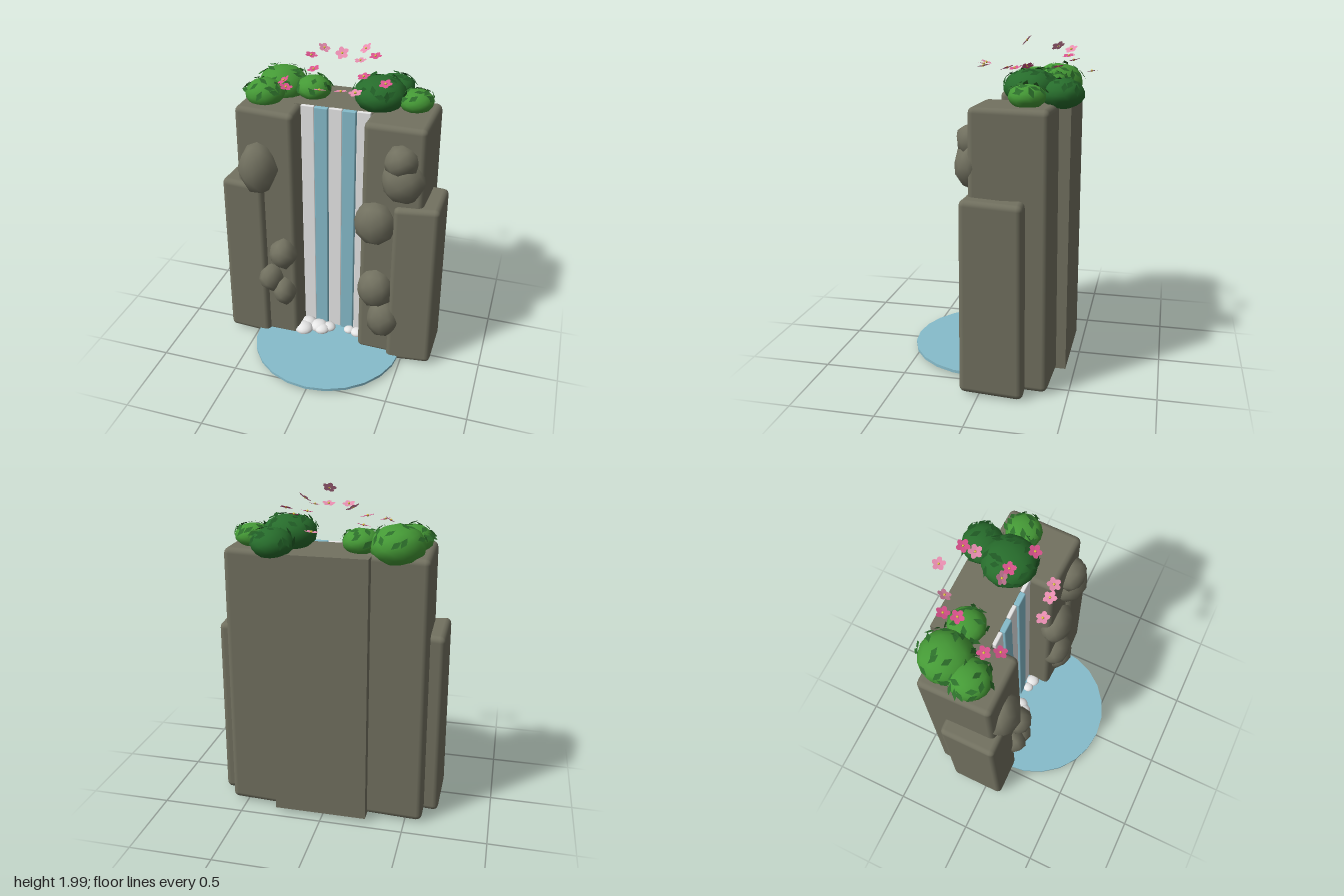
import * as THREE from 'three';
import { mergeVertices, mergeGeometries } from 'three/addons/utils/BufferGeometryUtils.js';
import { RoundedBoxGeometry } from 'three/addons/geometries/RoundedBoxGeometry.js';

const mat = (name, color, side = THREE.FrontSide) => {
  const m = new THREE.MeshStandardMaterial({ color, side });
  m.name = name;
  return m;
};

export function createModel() {
  const root = new THREE.Group();
  root.name = 'waterfallCliff';
  const rock = mat('rock', 0x727160);
  const water = mat('water', 0x86bccb);
  const foam = mat('foam', 0xeeeeee);
  const lightGreen = mat('lightGreen', 0x459a36);
  const darkGreen = mat('darkGreen', 0x276d2c);
  const leafGreen = mat('leafGreen', 0x2c6e2a, THREE.DoubleSide);
  const leafDeep = mat('leafDeepGreen', 0x1f5a24, THREE.DoubleSide);
  const pink = mat('pinkPetal', 0xea8fb2, THREE.DoubleSide);
  const hotPink = mat('hotPinkPetal', 0xd9528c, THREE.DoubleSide);
  const yellow = mat('flowerCentre', 0xe2c544);

  let seed = 11;
  const rnd = () => {
    seed = (seed * 16807) % 2147483647;
    return seed / 2147483647;
  };
  const add = (name, geometry, material, x = 0, y = 0, z = 0, parent = root) => {
    const m = new THREE.Mesh(geometry, material);
    m.name = name;
    m.position.set(x, y, z);
    parent.add(m);
    return m;
  };

  // Uneven ball with smooth normals, for boulders, bushes and foam
  const blob = (rx, ry, rz, detail, rough) => {
    let g = new THREE.IcosahedronGeometry(1, detail);
    g.deleteAttribute('uv');
    g.deleteAttribute('normal');
    g = mergeVertices(g, 1e-3);
    const p = g.attributes.position;
    for (let i = 0; i < p.count; i++) {
      const k = 1 + (rnd() - 0.5) * rough;
      p.setXYZ(i, p.getX(i) * k * rx, p.getY(i) * k * ry, p.getZ(i) * k * rz);
    }
    g.computeVertexNormals();
    return g;
  };

  // Rock columns: softened boxes, slightly narrower and uneven at the ends
  const column = (name, x0, x1, y0, y1, z0, z1, phase) => {
    const w = x1 - x0, h = y1 - y0, d = z1 - z0;
    const g = new RoundedBoxGeometry(w, h, d, 2, 0.035);
    const p = g.attributes.position;
    for (let i = 0; i < p.count; i++) {
      const x = p.getX(i), y = p.getY(i), z = p.getZ(i);
      const t = y / h + 0.5;
      const k = 1 - 0.05 * t;
      p.setXYZ(i,
        x * k + 0.004 * Math.sin(9 * z + phase),
        y + 0.009 * Math.sin(11 * x + 8 * z + phase),
        z * k + 0.005 * Math.sin(12 * x + phase * 2));
    }
    add(name, g, rock, (x0 + x1) / 2, (y0 + y1) / 2, (z0 + z1) / 2);
  };
  column('tallColumnRight', -0.6, -0.215, 0.02, 1.64, -0.385, 0.08, 1);
  column('tallColumnLeft', 0.2, 0.59, 0.02, 1.64, -0.39, 0.08, 3);
  column('outerColumnRight', -0.69, -0.41, 0.02, 1.16, -0.255, 0.115, 2);
  column('outerColumnLeft', 0.4, 0.69, 0.015, 1.15, -0.255, 0.115, 5);
  add('backWall', new THREE.BoxGeometry(0.56, 1.61, 0.35), rock, 0.01, 0.835, -0.275);

  // Boulders stuck to the column fronts: x, y, rx, ry
  [
    [-0.45, 1.265, 0.125, 0.17], [-0.3, 0.67, 0.09, 0.105],
    [-0.39, 0.47, 0.08, 0.1], [-0.3, 0.38, 0.075, 0.1],
    [0.45, 1.31, 0.135, 0.14], [0.44, 1.44, 0.105, 0.095],
    [0.29, 1.005, 0.13, 0.145], [0.31, 0.53, 0.12, 0.135],
    [0.365, 0.31, 0.11, 0.135],
  ].forEach(([x, y, rx, ry]) => add('boulder', blob(rx, ry, 0.1, 1, 0.16), rock, x, y, 0.07));

  // Falling water: alternating strips
  for (let i = 0; i < 5; i++) {
    const blue = i % 2 === 1;
    add(blue ? 'waterStrip' : 'foamStrip',
      new RoundedBoxGeometry(0.085, 1.61, blue ? 0.035 : 0.025, 1, 0.006),
      blue ? water : foam, -0.005 + (i - 2) * 0.087, 0.838, blue ? -0.083 : -0.09);
  }

  // Pool
  add('pool', new THREE.CylinderGeometry(0.485, 0.485, 0.018, 24), water, 0, 0.034, 0.077);

  // Foam at the foot of the falls: x, z, r
  [
    [-0.19, 0.03, 0.062], [-0.18, -0.03, 0.06], [-0.1, -0.02, 0.06], [-0.07, 0.005, 0.05],
    [-0.03, -0.03, 0.045], [0.11, -0.04, 0.036], [0.17, -0.03, 0.045],
  ].forEach(([x, z, r]) => add('foamPuff', blob(r, r * 0.62, r, 2, 0.06), foam, x, 0.053, z));

  // Pointed leaf, folded along its middle
  const leafShape = () => {
    const g = new THREE.BufferGeometry();
    g.setAttribute('position', new THREE.Float32BufferAttribute(
      [0, -0.035, 0, 0.017, 0, 0.004, 0, 0.035, 0.006, -0.017, 0, 0.004], 3));
    g.setIndex([0, 1, 2, 0, 2, 3]);
    g.computeVertexNormals();
    return g;
  };

  // Bushes: x, y, z, radius, height radius, body, leaves
  [
    [-0.4, 1.685, -0.28, 0.155, 0.115, lightGreen, leafGreen],
    [-0.455, 1.685, -0.11, 0.12, 0.085, lightGreen, leafGreen],
    [-0.195, 1.69, -0.26, 0.108, 0.075, lightGreen, leafGreen],
    [0.23, 1.715, -0.215, 0.158, 0.105, darkGreen, leafDeep],
    [0.28, 1.69, -0.4, 0.122, 0.085, darkGreen, leafDeep],
    [0.445, 1.69, -0.23, 0.105, 0.068, lightGreen, leafGreen],
  ].forEach(([x, y, z, r, ry, body, leafMat]) => {
    const bush = new THREE.Group();
    bush.name = 'bush';
    bush.position.set(x, y, z);
    root.add(bush);
    add('foliage', blob(r, ry, r, 2, 0.06), body, 0, 0, 0, bush);
    const leaves = [];
    const o = new THREE.Object3D();
    for (let i = 0; i < Math.round(r * 150); i++) {
      const a = i * 2.4 + rnd() * 0.5, up = 0.1 + 0.85 * rnd();
      const c = Math.sqrt(1 - up * up);
      o.position.set(Math.cos(a) * c * r, up * ry, Math.sin(a) * c * r).multiplyScalar(1.03);
      o.lookAt(o.position.x * 2, o.position.y * 3.2, o.position.z * 2);
      o.rotateZ(rnd() * 6.28);
      o.rotateX((rnd() - 0.5) * 0.7);
      o.updateMatrix();
      leaves.push(leafShape().applyMatrix4(o.matrix));
    }
    add('leaves', mergeGeometries(leaves), leafMat, 0, 0, 0, bush);
  });

  // Blossoms drifting over the top: x, y, z, tilt forward, tilt sideways, petals
  const petal = new THREE.CircleGeometry(0.5, 8);
  petal.scale(0.031, 0.036, 1).translate(0, 0.023, 0).rotateX(-Math.PI / 2);
  const petals = mergeGeometries([0, 1, 2, 3, 4].map((i) =>
    petal.clone().rotateX(0.12).rotateY((i * Math.PI * 2) / 5)));
  const centre = new THREE.SphereGeometry(0.007, 8, 6);
  [
    [0.02, 1.79, -0.53, 0.1, 0.1, pink], [0.14, 1.86, -0.44, 0.25, 0.1, hotPink],
    [0.105, 1.935, -0.345, 0.5, 0.5, pink], [-0.17, 1.9, -0.385, 0.3, -0.5, pink],
    [-0.245, 1.855, -0.36, 0.1, -0.2, hotPink], [-0.21, 1.79, -0.3, 0.2, 0.2, hotPink],
    [0.015, 1.96, -0.15, 0.85, 0, pink], [0.14, 1.825, -0.17, 0.2, 0.15, hotPink],
    [0.29, 1.825, -0.09, 0.35, 0.1, hotPink], [-0.325, 1.78, -0.09, 0.3, 0.5, hotPink],
    [-0.285, 1.77, -0.015, 0.15, -0.2, hotPink], [-0.04, 1.825, 0.11, -0.3, 0, pink],
    [0.08, 1.825, 0.095, -0.2, 0.1, pink], [0.16, 1.82, 0.08, 0.2, 0.1, pink],
  ].forEach(([x, y, z, fx, fz, m], i) => {
    const flower = new THREE.Group();
    flower.name = 'blossom';
    flower.position.set(x, y, z);
    flower.rotation.set(fx, i * 0.9, fz, 'XZY');
    root.add(flower);
    add('petals', petals, m, 0, 0, 0, flower);
    add('blossomCentre', centre, yellow, 0, 0.004, 0, flower);
  });

  return root;
}
